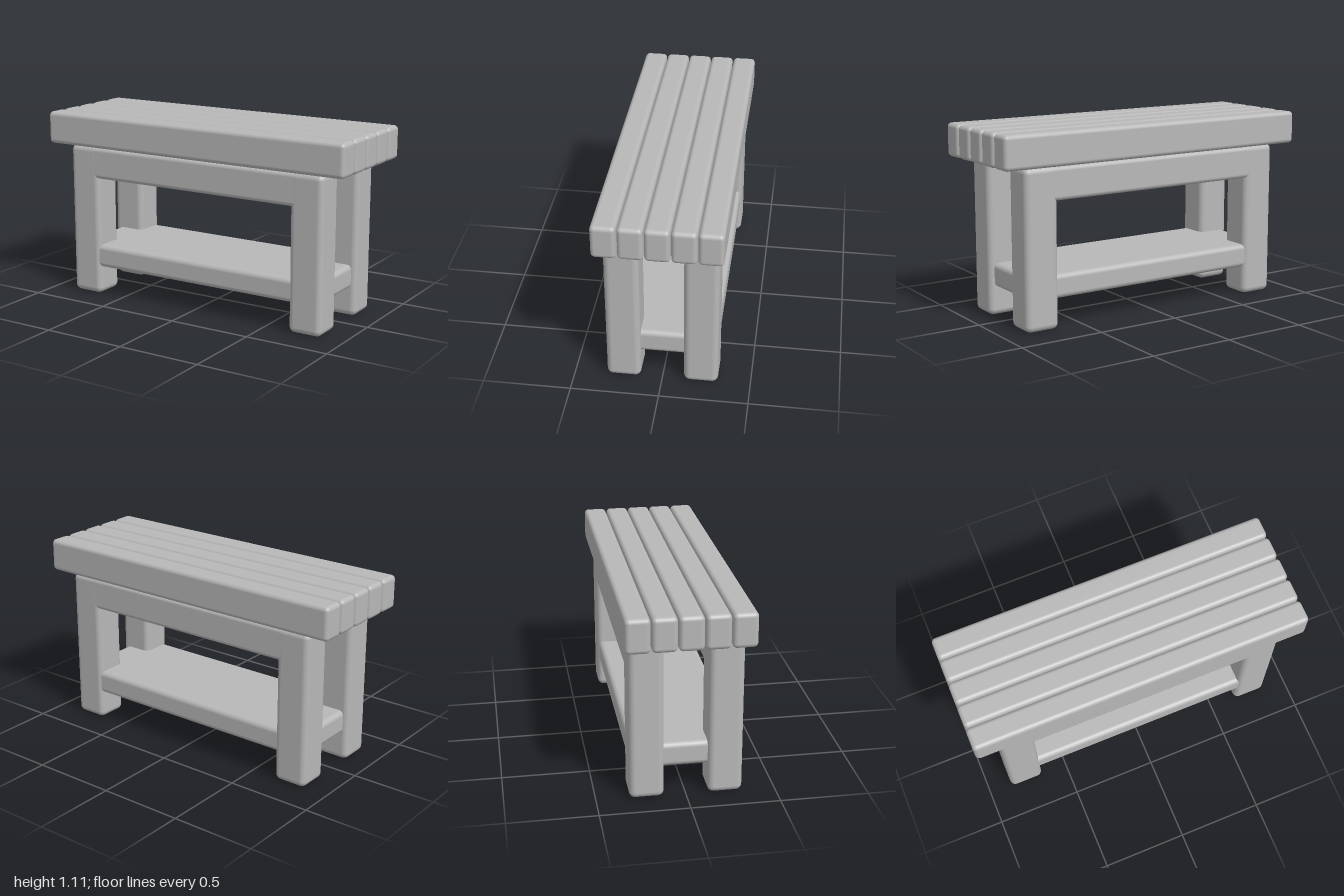
import * as THREE from 'three';
import { RoundedBoxGeometry } from 'three/addons/geometries/RoundedBoxGeometry.js';

export function createModel() {
  const bench = new THREE.Group();
  bench.name = 'bench';
  const grey = new THREE.MeshStandardMaterial({ color: 0xb8b8b8 });
  grey.name = 'grey';

  // Softly rounded timber, placed by its centre
  function timber(name, [w, h, d], [x, y, z], radius = 0.03) {
    const mesh = new THREE.Mesh(new RoundedBoxGeometry(w, h, d, 3, radius), grey);
    mesh.name = name;
    mesh.position.set(x, y, z);
    bench.add(mesh);
  }

  // Five seat slats running the full length
  for (let i = -2; i <= 2; i++) {
    timber('seatSlat', [2, 0.194, 0.136], [0, 1.016, i * 0.141], 0.025);
  }

  for (const sz of [1, -1]) {
    const side = sz > 0 ? 'front' : 'back';
    // Legs
    for (const sx of [1, -1]) {
      timber(side + (sx > 0 ? 'Left' : 'Right') + 'Leg', [0.204, 0.921, 0.194], [sx * 0.759, 0.4605, sz * 0.219], 0.035);
    }
    // Rail under the seat, flush with the legs
    timber(side + 'Rail', [1.56, 0.19, 0.192], [0, 0.82, sz * 0.219], 0.025);
  }

  // Low shelf held between the legs
  timber('shelf', [1.66, 0.14, 0.612], [0, 0.24, 0], 0.03);

  return bench;
}
